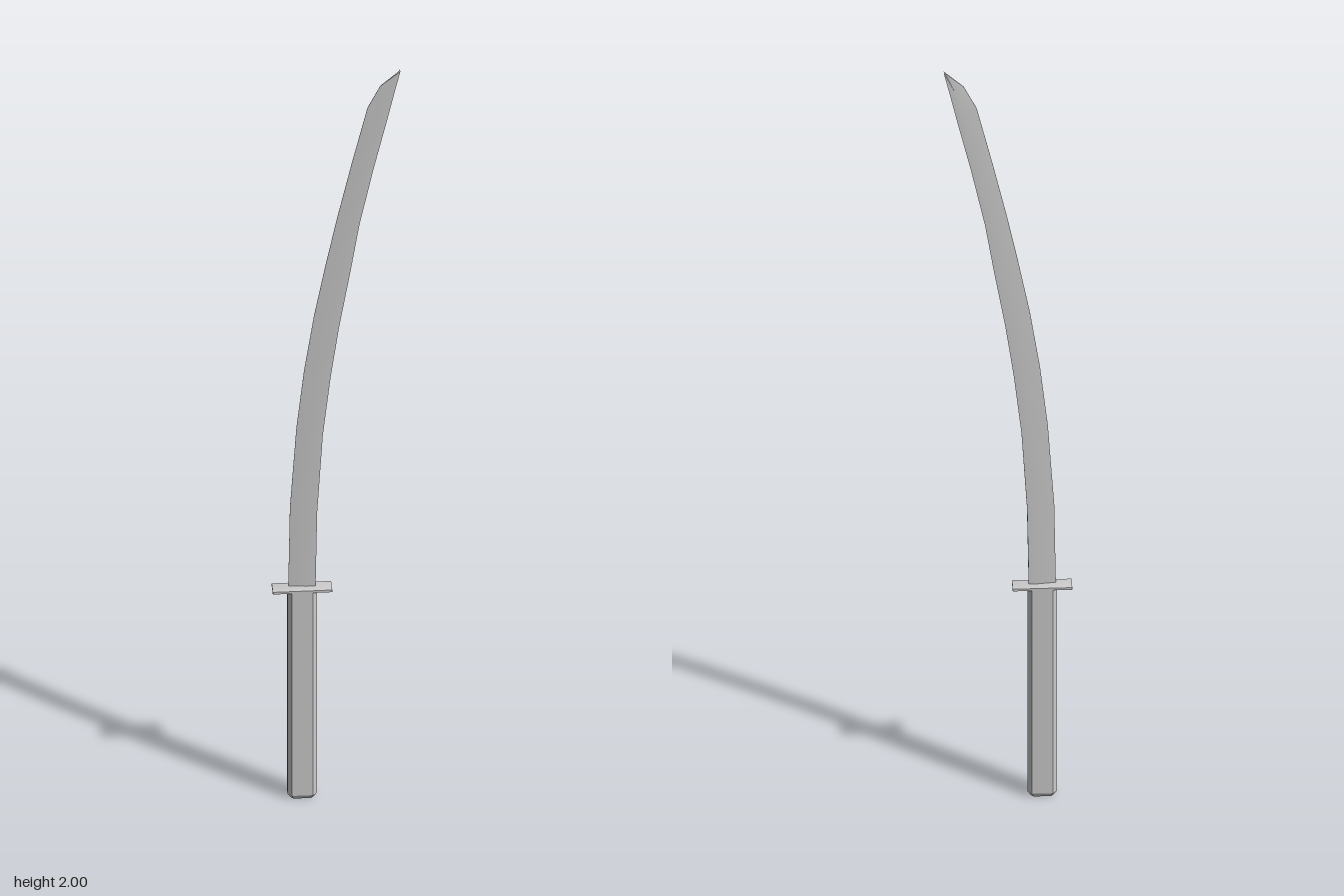
import * as THREE from 'three';
import { toCreasedNormals } from 'three/addons/utils/BufferGeometryUtils.js';

const CX = -0.082; // grip axis

// Skin a stack of rings (points [x, y, z], counter-clockwise from above) and cap both ends
function loft(name, rings) {
  const n = rings[0].length, last = (rings.length - 1) * n, index = [];
  for (let i = 0; i < rings.length - 1; i++) {
    for (let j = 0; j < n; j++) {
      const a = i * n + j, b = i * n + (j + 1) % n;
      index.push(a, b, b + n, a, b + n, a + n);
    }
  }
  for (let j = 1; j < n - 1; j++) {
    index.push(0, j + 1, j, last, last + j, last + j + 1);
  }
  const geometry = new THREE.BufferGeometry();
  geometry.setAttribute('position', new THREE.Float32BufferAttribute(rings.flat(2), 3));
  geometry.setIndex(index);
  const mesh = new THREE.Mesh(
    toCreasedNormals(geometry, 0.45),
    new THREE.MeshStandardMaterial({ color: 0xcccccc })
  );
  mesh.name = name;
  return mesh;
}

// Rectangle with cut corners, half sizes w and d, corner cut c
function chamferRing(y, w, d, c) {
  return [
    [w, d - c], [w, c - d], [w - c, -d], [c - w, -d],
    [-w, c - d], [-w, d - c], [c - w, d], [w - c, d],
  ].map(([x, z]) => [CX + x, y, z]);
}

export function createModel() {
  const group = new THREE.Group();

  // Grip with bevelled pommel end
  group.add(loft('grip', [
    chamferRing(0, 0.026, 0.010, 0.006),
    chamferRing(0.012, 0.034, 0.017, 0.010),
    chamferRing(0.575, 0.034, 0.017, 0.010),
  ]));

  // Guard plate, bevelled above and below
  group.add(loft('guard', [
    chamferRing(0.570, 0.045, 0.007, 0.001),
    chamferRing(0.574, 0.069, 0.019, 0.001),
    chamferRing(0.580, 0.069, 0.019, 0.001),
    chamferRing(0.584, 0.045, 0.007, 0.001),
  ]));

  // Curved blade: [edge x, edge y, spine x, spine y], thin edge on -x and flat spine on +x
  const sections = [
    [-0.114, 0.57, -0.051, 0.57],
    [-0.110, 0.80, -0.047, 0.79],
    [-0.095, 1.02, -0.034, 1.00],
    [-0.077, 1.18, -0.016, 1.16],
    [-0.054, 1.33, 0.004, 1.30],
    [-0.027, 1.47, 0.030, 1.45],
    [0.000, 1.60, 0.051, 1.58],
    [0.034, 1.75, 0.083, 1.73],
    [0.070, 1.90, 0.116, 1.87],
    [0.100, 1.96, 0.133, 1.945],
    [0.143, 1.998, 0.146, 2.00],
  ];
  const t = 0.005;
  group.add(loft('blade', sections.map(([ex, ey, sx, sy]) => {
    const mx = ex + (sx - ex) * 0.65, my = ey + (sy - ey) * 0.65;
    return [
      [sx, sy, t], [sx, sy, -t], [mx, my, -t],
      [ex, ey, -0.0006], [ex, ey, 0.0006], [mx, my, t],
    ];
  })));

  return group;
}
